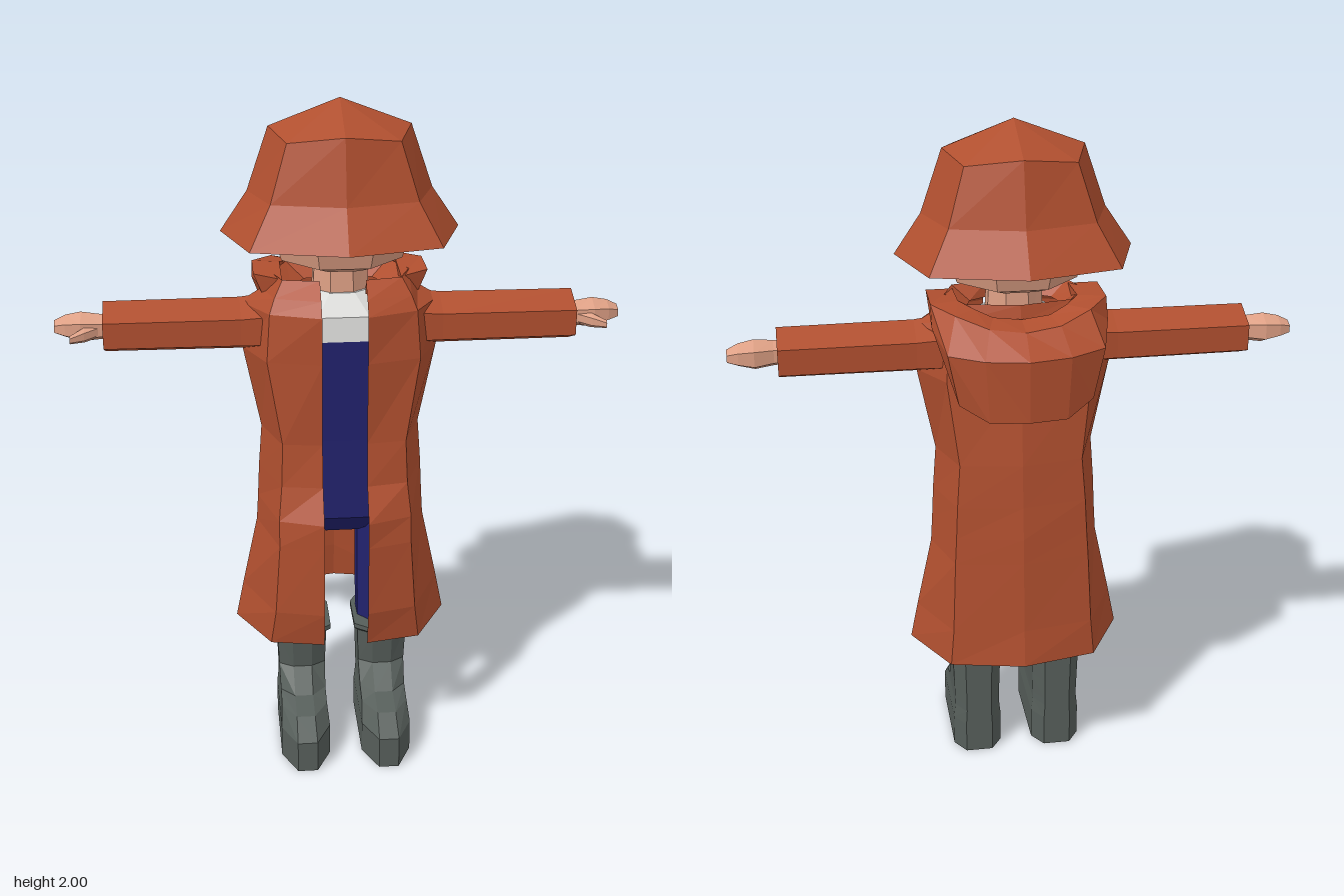
import * as THREE from 'three';

const mat = (name, color, side = THREE.FrontSide) =>
  Object.assign(new THREE.MeshStandardMaterial({ color, flatShading: true, side }), { name });

// Skins a list of cross-sections with flat faces; solid shapes are turned outwards
function loft(rings, { closed = true, caps = true } = {}) {
  const n = rings[0].length, tris = [];
  for (let r = 0; r < rings.length - 1; r++) {
    const a = rings[r], b = rings[r + 1];
    for (let i = 0; i < (closed ? n : n - 1); i++) {
      const j = (i + 1) % n;
      tris.push([a[i], a[j], b[j]], [a[i], b[j], b[i]]);
    }
  }
  if (closed && caps) {
    const a = rings[0], b = rings[rings.length - 1];
    for (let i = 1; i < n - 1; i++) tris.push([a[0], a[i + 1], a[i]], [b[0], b[i], b[i + 1]]);
  }
  let volume = 0;
  for (const [a, b, c] of tris) {
    volume += a[0] * (b[1] * c[2] - b[2] * c[1]) + a[1] * (b[2] * c[0] - b[0] * c[2]) + a[2] * (b[0] * c[1] - b[1] * c[0]);
  }
  if (closed && volume < 0) tris.forEach((t) => t.reverse());
  const geo = new THREE.BufferGeometry();
  geo.setAttribute('position', new THREE.Float32BufferAttribute(tris.flat(2), 3));
  geo.computeVertexNormals();
  return geo;
}

// Horizontal ring of n points; phase turns it
function ring(n, y, rx, rz, cx = 0, phase = 0) {
  return Array.from({ length: n }, (_, i) => {
    const t = phase + (i / n) * Math.PI * 2;
    return [cx + rx * Math.cos(t), y, -rz * Math.sin(t)];
  });
}

// Upright six-sided ring across an arm, pointed at top and bottom
function armRing(x, y, ry, rz, z = 0) {
  return Array.from({ length: 6 }, (_, i) => {
    const t = Math.PI / 2 + (i / 6) * Math.PI * 2;
    return [x, y + ry * Math.sin(t), z + (rz / 0.866) * Math.cos(t)];
  });
}

const flip = ([x, y, z]) => [-x, y, z];

export function createModel() {
  const model = new THREE.Group();
  model.name = 'raincoatFigure';
  const coat = mat('rust coat', 0xb04f2f, THREE.DoubleSide);
  const navy = mat('navy overalls', 0x22226e);
  const white = mat('white shirt', 0xd9d9d7, THREE.DoubleSide);
  const skin = mat('skin', 0xdd9f84);
  const rubber = mat('grey rubber', 0x565e5a);

  const add = (name, geo, material, parent = model) => {
    const mesh = new THREE.Mesh(geo, material);
    mesh.name = name;
    parent.add(mesh);
  };

  // Hat: eight-sided crown with a sloping brim, open below
  const hatRing = (y, rx, zf, zb, drop = 0) => ring(8, y, 1, 1).map(([x, , z], i) => {
    const k = i % 2 ? 1.1 : 1;
    return [x * rx * k, y - (i % 2 ? drop : 0), z * (z > 0 ? zf : zb) * k];
  });
  add('hat', loft([
    hatRing(1.63, 0.34, 0.29, 0.3),
    hatRing(1.745, 0.262, 0.215, 0.225),
    hatRing(1.925, 0.2, 0.175, 0.18, 0.02),
    hatRing(2.0, 0.0005, 0.0005, 0.0005),
  ], { caps: false }), coat);

  // Head and neck
  const eighth = Math.PI / 8;
  const body = (y, rx, rz, cx = 0) => ring(8, y, rx, rz, cx, eighth);
  add('head', loft([
    body(1.535, 0.11, 0.12), body(1.56, 0.185, 0.185), body(1.64, 0.21, 0.21),
    body(1.76, 0.2, 0.19), body(1.86, 0.13, 0.12),
  ]), skin);
  add('neck', loft([body(1.4, 0.09, 0.075), body(1.57, 0.08, 0.07)]), skin);

  // Torso under the coat
  add('overallsBody', loft([
    body(0.71, 0.13, 0.09), body(0.775, 0.2, 0.145), body(1.03, 0.195, 0.15), body(1.34, 0.2, 0.165),
  ]), navy);
  add('shirt', loft([
    body(1.34, 0.2, 0.165), body(1.41, 0.19, 0.155), body(1.46, 0.095, 0.08),
  ]), white);

  // Coat: open at the front; each row is y, then [x, z] from front edge to side to back
  const coatRows = [
    [0.385, [0.065, 0.21], [0.225, 0.18], [0.325, 0], [0.22, -0.19], [0, -0.235]],
    [0.5, [0.065, 0.235], [0.21, 0.2], [0.302, 0], [0.21, -0.185], [0, -0.22]],
    [0.72, [0.065, 0.235], [0.195, 0.2], [0.255, 0], [0.2, -0.17], [0, -0.205]],
    [0.8, [0.065, 0.235], [0.195, 0.19], [0.25, 0], [0.195, -0.165], [0, -0.2]],
    [0.9, [0.065, 0.185], [0.185, 0.165], [0.245, 0], [0.19, -0.16], [0, -0.19]],
    [1.03, [0.065, 0.168], [0.18, 0.155], [0.235, 0], [0.18, -0.15], [0, -0.18]],
    [1.28, [0.065, 0.178], [0.22, 0.14], [0.285, 0], [0.21, -0.12], [0, -0.15]],
    [1.42, [0.065, 0.18], [0.21, 0.13], [0.29, 0], [0.2, -0.11], [0, -0.14]],
    [1.46, [0.065, 0.15], [0.195, 0.11], [0.225, 0], [0.17, -0.11], [0, -0.14]],
    [1.505, [0.065, 0.1], [0.17, 0.08], [0.2, 0], [0.15, -0.1], [0, -0.13]],
    [1.46, [0.065, 0.09], [0.12, 0.06], [0.14, 0], [0.1, -0.07], [0, -0.09]],
  ];
  add('coat', loft(coatRows.map(([y, ...pts]) => {
    const half = pts.map(([x, z]) => [x, y, z]);
    return [...half, ...half.slice(0, -1).reverse().map(flip)];
  }), { closed: false }), coat);

  // Folded hood: sections from the left collar end round to the middle of the back
  const hood = [
    [[0.17, 1.5, 0.06], [0.25, 1.51, 0.03], [0.24, 1.485, 0.03], [0.225, 1.45, 0.03], [0.17, 1.45, 0.05]],
    [[0.17, 1.51, -0.08], [0.25, 1.51, -0.1], [0.25, 1.45, -0.13], [0.22, 1.37, -0.14], [0.16, 1.38, -0.1]],
    [[0.13, 1.5, -0.13], [0.19, 1.5, -0.18], [0.22, 1.41, -0.25], [0.19, 1.26, -0.245], [0.15, 1.28, -0.11]],
    [[0.08, 1.48, -0.15], [0.1, 1.47, -0.22], [0.12, 1.4, -0.285], [0.11, 1.22, -0.29], [0.1, 1.25, -0.12]],
    [[0, 1.47, -0.15], [0, 1.46, -0.235], [0, 1.4, -0.308], [0, 1.22, -0.305], [0, 1.25, -0.12]],
  ];
  add('hood', loft([...hood, ...hood.slice(0, -1).reverse().map((s) => s.map(flip))]), coat);

  // Boot outline at one height, pointed at the toe
  const bootRing = (y, w, zb, zf) => [
    [0.4 * w, zf], [w, zf * 0.7], [w, -0.05], [0.55 * w, zb],
    [-0.55 * w, zb], [-w, -0.05], [-w, zf * 0.7], [-0.4 * w, zf],
  ].map(([x, z]) => [0.125 + x, y, z]);

  // Arms and legs, built for both sides
  for (const s of [1, -1]) {
    const label = s > 0 ? 'left' : 'right';
    const limb = (rings, options) => loft(rings.map((r) => r.map(([x, y, z]) => [x * s, y, z])), options);

    const arm = new THREE.Group();
    arm.name = label + 'Arm';
    add('sleeve', limb([
      armRing(0.2, 1.36, 0.085, 0.1), armRing(0.29, 1.355, 0.078, 0.092), armRing(0.68, 1.355, 0.076, 0.09),
    ], { caps: false }), coat, arm);
    add('shirtCuff', limb([
      armRing(0.5, 1.355, 0.06, 0.07), armRing(0.672, 1.355, 0.062, 0.073),
    ], { caps: false }), white, arm);
    add('hand', limb([
      armRing(0.6, 1.355, 0.035, 0.035), armRing(0.69, 1.355, 0.038, 0.036),
      armRing(0.745, 1.355, 0.045, 0.048, -0.005), armRing(0.79, 1.357, 0.034, 0.04, -0.008),
      armRing(0.822, 1.355, 0.02, 0.025, -0.01),
    ]), skin, arm);
    add('thumb', limb([
      armRing(0.69, 1.352, 0.022, 0.018, 0.015), armRing(0.735, 1.345, 0.022, 0.018, 0.042),
      armRing(0.775, 1.34, 0.012, 0.008, 0.068),
    ]), skin, arm);
    model.add(arm);

    const leg = new THREE.Group();
    leg.name = label + 'Leg';
    add('trouserLeg', limb([
      body(0.34, 0.075, 0.085, 0.125), body(0.39, 0.08, 0.09, 0.125), body(0.78, 0.072, 0.095, 0.115),
    ]), navy, leg);
    add('boot', limb([
      bootRing(0, 0.075, -0.1, 0.31), bootRing(0.1, 0.075, -0.1, 0.31),
      bootRing(0.147, 0.07, -0.1, 0.235), bootRing(0.168, 0.07, -0.1, 0.15),
      bootRing(0.235, 0.072, -0.1, 0.085), bootRing(0.35, 0.076, -0.1, 0.1),
      bootRing(0.37, 0.088, -0.125, 0.13), bootRing(0.385, 0.088, -0.125, 0.13),
    ]), rubber, leg);
    model.add(leg);
  }
  return model;
}
